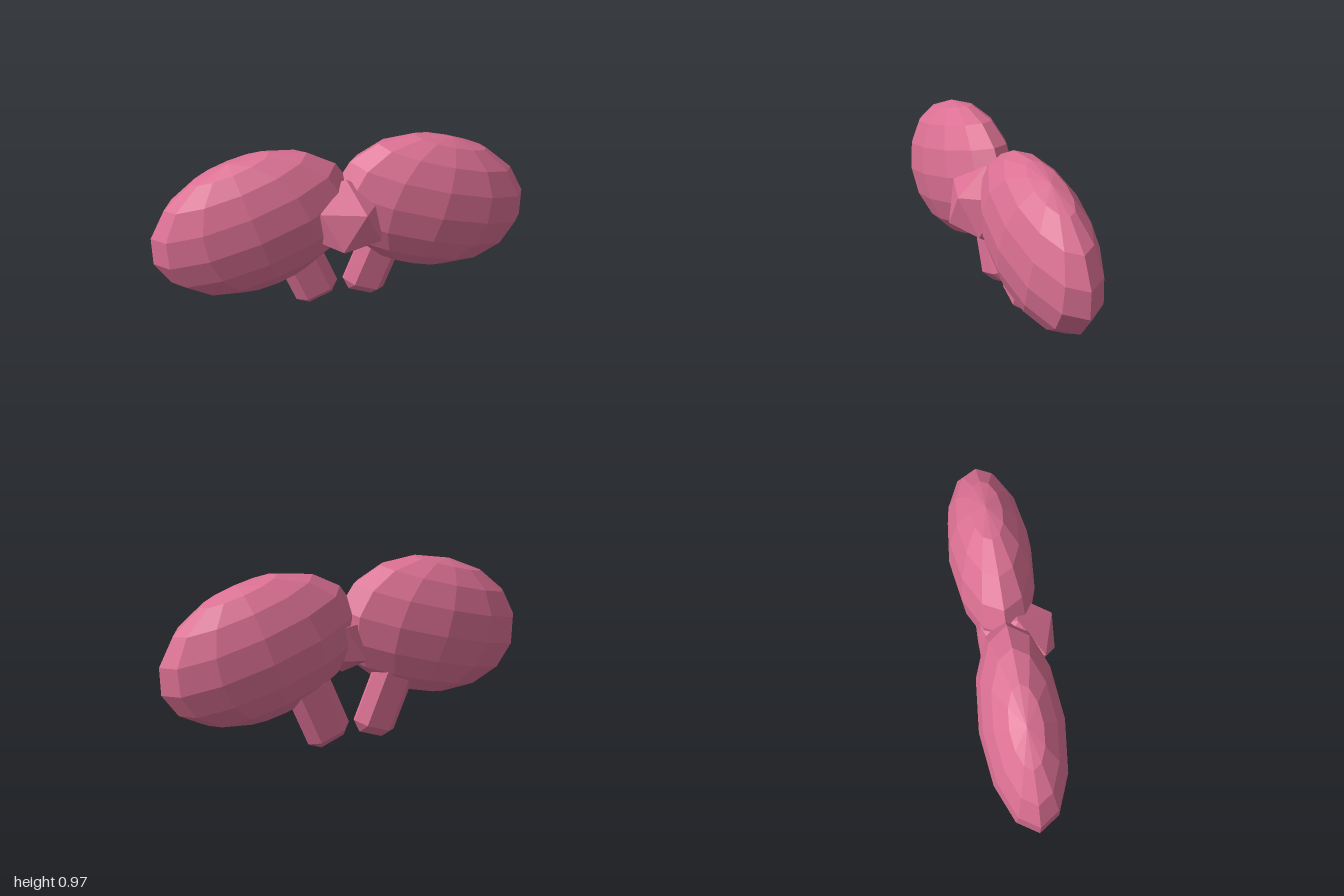
import * as THREE from 'three';
import { ConvexGeometry } from 'three/addons/geometries/ConvexGeometry.js';

// Box with every edge and corner cut off by a single bevel
function chamferedBox(w, h, d, cut) {
  const half = [w / 2, h / 2, d / 2];
  const points = [];
  for (const sx of [-1, 1]) for (const sy of [-1, 1]) for (const sz of [-1, 1]) {
    const sign = [sx, sy, sz];
    for (let axis = 0; axis < 3; axis++) {
      const p = half.map((v, i) => sign[i] * (i === axis ? v : v - cut));
      points.push(new THREE.Vector3(...p));
    }
  }
  return new ConvexGeometry(points);
}

export function createModel() {
  const model = new THREE.Group();
  model.name = 'bow';

  const pink = new THREE.MeshStandardMaterial({ color: 0xdb7093 });
  pink.name = 'pink';
  pink.flatShading = true;

  const lobeGeometry = new THREE.SphereGeometry(1, 12, 8).scale(0.545, 0.375, 0.22);
  const tailGeometry = chamferedBox(0.246, 0.433, 0.125, 0.055);

  const add = (name, geometry, x, y, z, tilt) => {
    const mesh = new THREE.Mesh(geometry, pink);
    mesh.name = name;
    mesh.position.set(x, y, z);
    mesh.rotation.z = tilt;
    model.add(mesh);
  };

  // Mirrored loops and ribbon tails
  for (const [side, s] of [['left', 1], ['right', -1]]) {
    add(side + 'Loop', lobeGeometry, s * 0.477, 0.573, -0.015, s * -0.3);
    add(side + 'Tail', tailGeometry, s * 0.191, 0.226, -0.0775, s * -0.38);
  }

  // Centre knot, turned so that one corner points straight up
  add('knot', new THREE.IcosahedronGeometry(0.22, 0), 0, 0.573, 0.048, -0.5536);

  return model;
}
